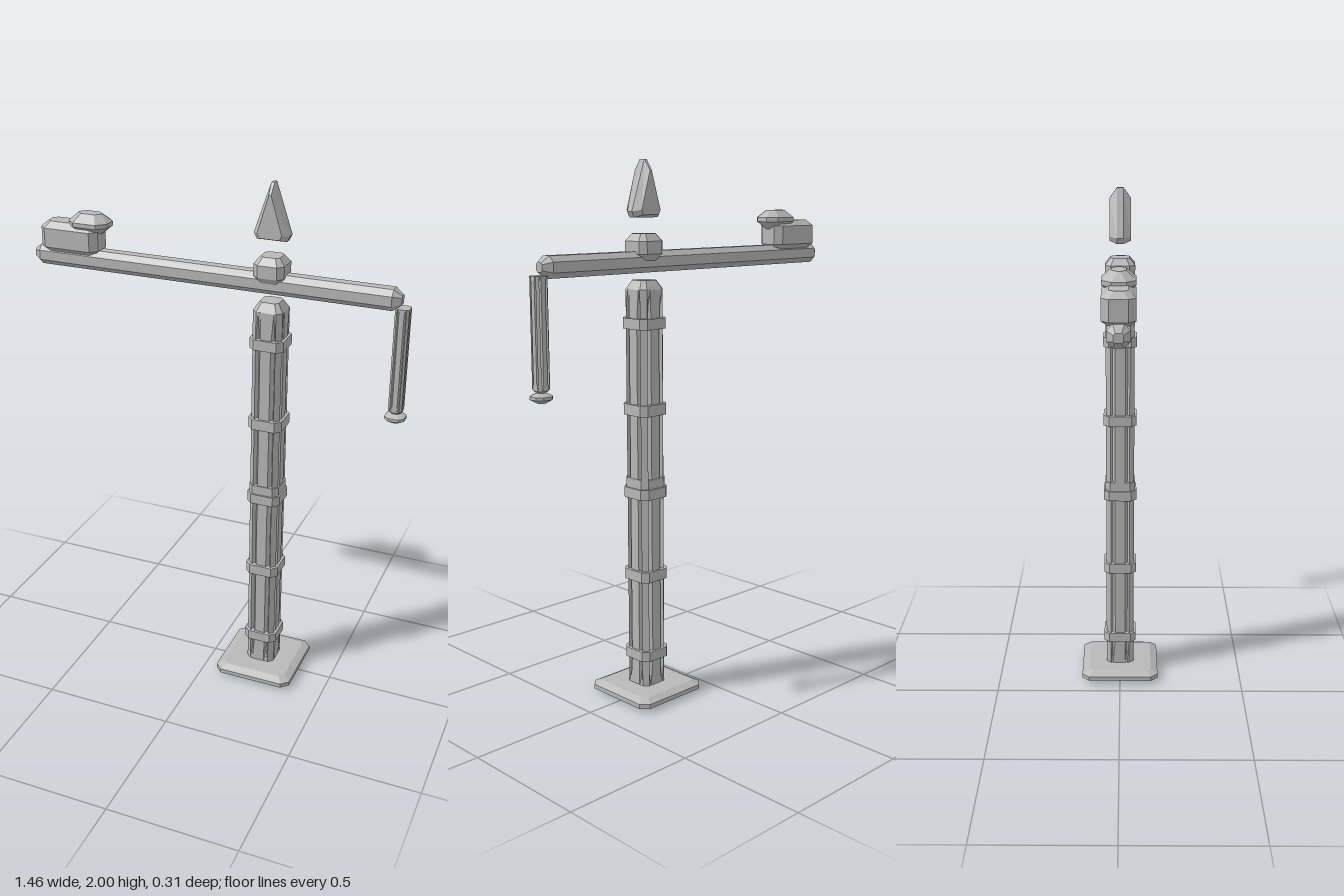
import * as THREE from 'three';

const steel = new THREE.MeshStandardMaterial({ color: 0xb8b8b8, flatShading: true });
steel.name = 'steel grey';

// Places a section point (a, b) at distance t along an axis.
const place = {
  x: (a, b, t) => [t, a, b],
  y: (a, b, t) => [a, t, -b],
  z: (a, b, t) => [a, b, t],
};

// Faceted solid through sections [t, points], with closed ends.
function loft(name, axis, sections) {
  const rings = sections.map(([t, pts]) => pts.map(([a, b]) => place[axis](a, b, t)));
  const n = rings[0].length;
  const pos = [];
  const tri = (...p) => p.forEach((v) => pos.push(...v));
  for (let r = 0; r + 1 < rings.length; r++) {
    for (let i = 0; i < n; i++) {
      const j = (i + 1) % n;
      const [lo, hi] = [rings[r], rings[r + 1]];
      tri(lo[i], lo[j], hi[j]);
      tri(lo[i], hi[j], hi[i]);
    }
  }
  const middle = (ring) => [0, 1, 2].map((k) => ring.reduce((s, p) => s + p[k], 0) / n);
  const first = rings[0];
  const last = rings[rings.length - 1];
  for (let i = 0; i < n; i++) {
    const j = (i + 1) % n;
    tri(middle(first), first[j], first[i]);
    tri(middle(last), last[i], last[j]);
  }
  const geo = new THREE.BufferGeometry();
  geo.setAttribute('position', new THREE.Float32BufferAttribute(pos, 3));
  geo.computeVertexNormals();
  const mesh = new THREE.Mesh(geo, steel);
  mesh.name = name;
  return mesh;
}

// Rectangle with cut corners.
const octagon = (a, b, c) => [
  [a, c - b], [a, b - c], [a - c, b], [c - a, b],
  [-a, b - c], [-a, c - b], [c - a, -b], [a - c, -b],
];

// Cut-corner square with two grooves per side; depth 0 gives a plain outline.
function fluted(h, depth) {
  const [s, m, w, d] = [0.36 * h, 0.53 * h, 0.67 * h, depth * h];
  const quarter = [[h, -s], [h, s], [h - d, m], [h, w], [w, h], [m, h - d]];
  const pts = [];
  for (let q = 0; q < 4; q++) {
    const [c, k] = [[1, 0], [0, 1], [-1, 0], [0, -1]][q];
    quarter.forEach(([a, b]) => pts.push([a * c - b * k, a * k + b * c]));
  }
  return pts;
}

// Box with every edge cut, lofted upward.
function block(name, x, y0, y1, hx, hz, cut, rise) {
  const mesh = loft(name, 'y', [
    [y0, octagon(hx - cut, hz - cut, cut * 0.6)],
    [y0 + rise, octagon(hx, hz, cut)],
    [y1 - rise, octagon(hx, hz, cut)],
    [y1, octagon(hx - cut, hz - cut, cut * 0.6)],
  ]);
  mesh.position.x = x;
  return mesh;
}

export function createModel() {
  const model = new THREE.Group();
  model.name = 'towerCrane';
  const mastX = 0.214;

  // Foot plate
  model.add(block('basePlate', mastX, 0, 0.045, 0.156, 0.156, 0.028, 0.014));

  // Grooved mast with plain ends
  const mast = loft('mast', 'y', [
    [0.04, fluted(0.056, 0.02)],
    [0.15, fluted(0.056, 0.32)],
    [1.43, fluted(0.056, 0.32)],
    [1.545, fluted(0.056, 0)],
    [1.577, fluted(0.036, 0)],
  ]);
  mast.position.x = mastX;
  model.add(mast);

  // Collars around the mast
  [[0.146, 0.184], [0.458, 0.498], [0.775, 0.814], [1.087, 1.128], [1.403, 1.442]].forEach(([lo, hi], i) => {
    const collar = loft('collar' + (i + 1), 'y', [
      [lo, octagon(0.065, 0.065, 0.021)],
      [hi, octagon(0.065, 0.065, 0.021)],
    ]);
    collar.position.x = mastX;
    model.add(collar);
  });
  const sleeve = loft('middleSleeve', 'y', [
    [0.81, octagon(0.059, 0.059, 0.019)],
    [0.85, octagon(0.059, 0.059, 0.019)],
  ]);
  sleeve.position.x = mastX;
  model.add(sleeve);

  // Horizontal jib
  const jib = loft('jib', 'x', [
    [-0.73, octagon(0.016, 0.016, 0.006)],
    [-0.7, octagon(0.038, 0.038, 0.02)],
    [0.655, octagon(0.038, 0.038, 0.02)],
    [0.685, octagon(0.016, 0.016, 0.006)],
  ]);
  jib.position.y = 1.642;
  model.add(jib);

  // Counterweights and hub
  model.add(block('lowerCounterweight', -0.572, 1.66, 1.776, 0.117, 0.056, 0.025, 0.022));
  model.add(block('upperCounterweight', -0.497, 1.742, 1.816, 0.078, 0.056, 0.032, 0.029));
  model.add(block('hub', mastX, 1.645, 1.742, 0.057, 0.057, 0.021, 0.026));

  // Pointed peak: bevelled wedge, lofted front to back
  const wedge = (half, low, foot, top, tip) => [
    [-half * 0.83, low], [half * 0.83, low], [half, foot], [tip, top], [-tip, top], [-half, foot],
  ];
  const inner = wedge(0.045, 1.808, 1.825, 1.962, 0.004);
  const outer = wedge(0.067, 1.798, 1.82, 2, 0.006);
  const peak = loft('peak', 'z', [[-0.04, inner], [-0.012, outer], [0.012, outer], [0.04, inner]]);
  peak.position.x = mastX;
  model.add(peak);

  // Hanging hoist and hook
  const hoist = new THREE.Group();
  hoist.name = 'hoist';
  hoist.position.x = 0.689;
  hoist.add(loft('hoistLine', 'y', [
    [1.235, fluted(0.025, 0)],
    [1.255, fluted(0.025, 0.32)],
    [1.595, fluted(0.025, 0.32)],
    [1.615, fluted(0.025, 0)],
  ]));
  const ring = (y, h) => [y, octagon(h, h, h * 0.5)];
  hoist.add(loft('hook', 'y', [
    ring(1.186, 0.014), ring(1.2, 0.036), ring(1.211, 0.036),
    ring(1.222, 0.014), ring(1.23, 0.024), ring(1.25, 0.024),
  ]));
  model.add(hoist);

  return model;
}
